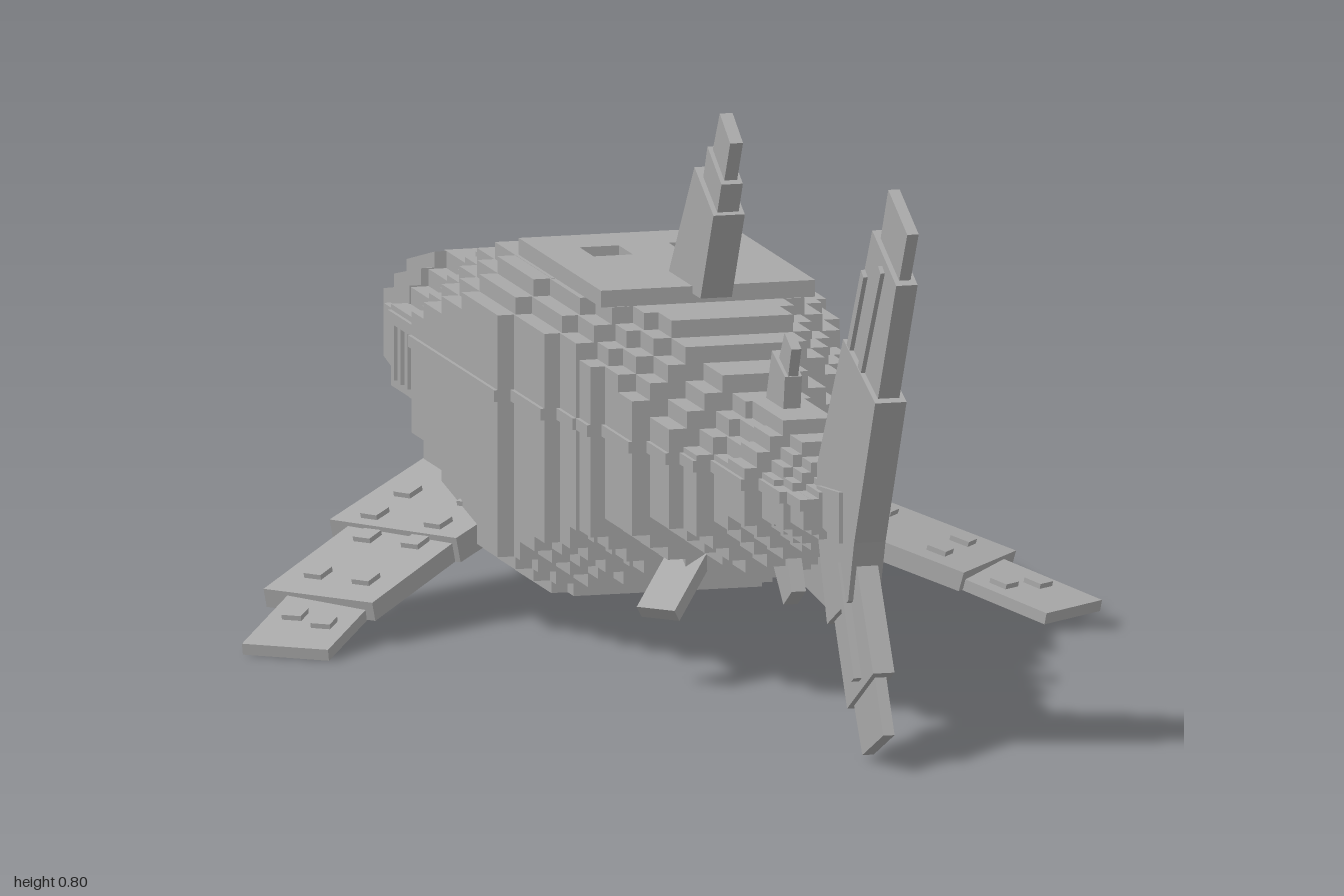
import * as THREE from 'three';

export function createModel() {
  const root = new THREE.Group();
  root.name = 'blockyShark';
  const grey = new THREE.MeshStandardMaterial({ color: 0xa8a8a8, flatShading: true });
  grey.name = 'grey';

  const add = (geo, name, parent = root) => {
    const m = new THREE.Mesh(geo, grey);
    m.name = name;
    parent.add(m);
    return m;
  };
  // Box from its limits
  const box = (x0, x1, y0, y1, z0, z1, name, parent) => {
    const g = new THREE.BoxGeometry(x1 - x0, y1 - y0, z1 - z0);
    g.translate((x0 + x1) / 2, (y0 + y1) / 2, (z0 + z1) / 2);
    return add(g, name, parent);
  };
  // Side outline in (z, y), extruded from x0 to x1
  const side = (pts, x0, x1, name, parent) => {
    const s = new THREE.Shape(pts.map(([z, y]) => new THREE.Vector2(-z, y)));
    const g = new THREE.ExtrudeGeometry(s, { depth: x1 - x0, bevelEnabled: false });
    g.rotateY(Math.PI / 2);
    g.translate(x0, 0, 0);
    return add(g, name, parent);
  };
  // Flat slab from a to b whose chord stays level; optional square bumps on top
  const blade = (a, b, w, t, name, parent, bumps = []) => {
    const va = new THREE.Vector3(...a), vb = new THREE.Vector3(...b);
    const dir = vb.clone().sub(va), len = dir.length();
    dir.normalize();
    const chord = new THREE.Vector3(0, 1, 0).cross(dir).normalize();
    const up = dir.clone().cross(chord);
    const g = new THREE.Group();
    g.name = name;
    g.quaternion.setFromRotationMatrix(new THREE.Matrix4().makeBasis(chord, up, dir));
    g.position.copy(va.add(vb).multiplyScalar(0.5));
    add(new THREE.BoxGeometry(w, t, len), name + 'Slab', g);
    for (const [u, v] of bumps) {
      const m = add(new THREE.BoxGeometry(0.028, 0.008, 0.028), 'bump', g);
      m.position.set(u * w, t / 2 + 0.003, v * len);
    }
    parent.add(g);
  };

  // Body: stepped cross-sections [z0, z1, half width, bottom, top]
  const body = new THREE.Group();
  body.name = 'body';
  root.add(body);
  const sections = [
    [-0.87, -0.715, 0.205, 0.18, 0.415], [-0.715, -0.68, 0.205, 0.16, 0.44],
    [-0.68, -0.62, 0.23, 0.15, 0.44], [-0.62, -0.53, 0.23, 0.125, 0.463],
    [-0.53, -0.43, 0.23, 0.09, 0.487], [-0.43, -0.25, 0.23, 0.055, 0.51],
    [-0.25, -0.22, 0.207, 0.055, 0.51], [-0.22, -0.15, 0.207, 0.08, 0.51],
    [-0.15, -0.1, 0.207, 0.1, 0.51], [-0.1, -0.05, 0.185, 0.1, 0.51],
    [-0.05, -0.02, 0.185, 0.13, 0.51], [-0.02, 0.035, 0.18, 0.13, 0.487],
    [0.035, 0.1, 0.16, 0.155, 0.487], [0.1, 0.17, 0.16, 0.155, 0.463],
    [0.17, 0.265, 0.135, 0.18, 0.44], [0.265, 0.33, 0.115, 0.18, 0.415],
    [0.33, 0.4, 0.09, 0.2, 0.415], [0.4, 0.48, 0.09, 0.225, 0.415],
    [0.48, 0.54, 0.065, 0.245, 0.395], [0.54, 0.585, 0.065, 0.255, 0.375],
    [0.585, 0.65, 0.055, 0.275, 0.355],
  ];
  for (const [z0, z1, hw, yb, yt] of sections) {
    const step = Math.min(0.025, hw / 5), up = Math.min(0.0235, (yt - yb) / 9);
    for (let k = 0; k < 4; k++) {
      const w = hw - step * k, top = Math.min(yt - up * (3 - k), 0.487);
      box(-w, w, yb + up * 0.75 * (3 - k), top, z0, z1, 'bodyStep', body);
    }
    box(-hw - 0.005, hw + 0.005, 0.321, 0.337, z0, z1, 'sideKeel', body);
  }

  // Back plate with two square recesses
  const rect = (C, x0, x1, y0, y1) => {
    const p = new C();
    p.moveTo(x0, y0); p.lineTo(x1, y0); p.lineTo(x1, y1); p.lineTo(x0, y1); p.closePath();
    return p;
  };
  const plate = rect(THREE.Shape, -0.15, 0.15, 0.02, 0.43);
  plate.holes.push(rect(THREE.Path, 0.035, 0.09, 0.27, 0.34), rect(THREE.Path, -0.09, -0.035, 0.27, 0.34));
  const plateGeo = new THREE.ExtrudeGeometry(plate, { depth: 0.023, bevelEnabled: false });
  plateGeo.rotateX(-Math.PI / 2);
  plateGeo.translate(0, 0.487, 0);
  add(plateGeo, 'backPlate', body);

  // Head: tapered middle with a mouth slot, then stepped cheeks
  const head = new THREE.Group();
  head.name = 'head';
  root.add(head);
  side([[-0.86, 0.18], [-0.86, 0.415], [-1, 0.38], [-1, 0.31], [-0.975, 0.31],
    [-0.975, 0.285], [-1, 0.285], [-1, 0.215]], -0.12, 0.12, 'snout', head);
  const cheek = (d, zf) => [[-0.86, 0.18 + d], [-0.86, 0.415 - d], [zf, 0.38 - d * 0.8], [zf, 0.215 + d * 0.8]];
  for (const s of [-1, 1]) {
    const sx = (pts, a, b, n) => side(pts, s > 0 ? a : -b, s > 0 ? b : -a, n, head);
    sx(cheek(0, -1), 0.12, 0.147, 'lipCorner');
    sx(cheek(0.022, -0.993), 0.147, 0.166, 'cheekInner');
    sx(cheek(0.045, -0.988), 0.166, 0.182, 'cheekOuter');
    // Eye
    const eye = add(new THREE.BoxGeometry(0.02, 0.045, 0.045), 'eye', head);
    eye.position.set(s * 0.182, 0.308, -0.93);
    // Gills
    for (let i = 0; i < 4; i++) {
      const gill = add(new THREE.BoxGeometry(0.012, 0.09, 0.014), 'gill', head);
      gill.position.set(s * 0.204, 0.29, -0.845 + i * 0.034);
    }
  }

  // Dorsal fins and anal fin
  const fins = new THREE.Group();
  fins.name = 'midlineFins';
  root.add(fins);
  side([[-0.145, 0.5], [0.02, 0.5], [0.085, 0.625], [-0.01, 0.675]], -0.022, 0.022, 'dorsalBase', fins);
  side([[-0.02, 0.6], [0.06, 0.59], [0.1, 0.67], [0.03, 0.71]], -0.015, 0.015, 'dorsalMiddle', fins);
  side([[0, 0.65], [0.08, 0.65], [0.122, 0.73], [0.07, 0.762]], -0.009, 0.009, 'dorsalTip', fins);
  side([[0.305, 0.4], [0.395, 0.4], [0.405, 0.46], [0.34, 0.485]], -0.012, 0.012, 'rearDorsalBase', fins);
  side([[0.34, 0.45], [0.395, 0.44], [0.42, 0.5], [0.385, 0.517]], -0.007, 0.007, 'rearDorsalTip', fins);
  side([[0.32, 0.23], [0.4, 0.23], [0.432, 0.17], [0.39, 0.145], [0.335, 0.195]], -0.01, 0.01, 'analFin', fins);

  // Tail: three stacked thicknesses per lobe, with ribs on each side
  const tail = new THREE.Group();
  tail.name = 'tail';
  root.add(tail);
  side([[0.6, 0.28], [0.6, 0.375], [0.73, 0.57], [0.89, 0.51], [0.785, 0.3], [0.72, 0.27]], -0.022, 0.022, 'upperBase', tail);
  side([[0.7, 0.5], [0.85, 0.74], [0.97, 0.685], [0.85, 0.46]], -0.015, 0.015, 'upperMiddle', tail);
  side([[0.84, 0.68], [0.905, 0.805], [1, 0.76], [0.93, 0.64]], -0.008, 0.008, 'upperTip', tail);
  side([[0.6, 0.29], [0.65, 0.165], [0.755, 0.215], [0.785, 0.3], [0.7, 0.36]], -0.022, 0.022, 'lowerBase', tail);
  side([[0.64, 0.21], [0.725, 0.062], [0.855, 0.133], [0.77, 0.27]], -0.015, 0.015, 'lowerMiddle', tail);
  side([[0.72, 0.09], [0.776, 0.007], [0.88, 0.052], [0.83, 0.14]], -0.008, 0.008, 'lowerTip', tail);
  side([[0.73, 0.29], [0.62, 0.3], [0.62, 0.35], [0.73, 0.36]], -0.028, 0.028, 'tailRoot', tail);
  side([[0.79, 0.53], [0.9, 0.7], [0.913, 0.692], [0.803, 0.52]], -0.021, 0.021, 'upperRib', tail);
  side([[0.735, 0.55], [0.815, 0.68], [0.828, 0.672], [0.748, 0.542]], -0.021, 0.021, 'upperRib', tail);
  side([[0.705, 0.255], [0.785, 0.11], [0.798, 0.117], [0.718, 0.262]], -0.026, 0.026, 'lowerRib', tail);

  // Paired fins
  for (const s of [-1, 1]) {
    const fin = new THREE.Group();
    fin.name = s > 0 ? 'leftPectoralFin' : 'rightPectoralFin';
    root.add(fin);
    const p = (x, y, z) => [s * x, y, z];
    const grid = [[-0.22, -0.25], [0.22, -0.25], [-0.22, 0.25], [0.22, 0.25]];
    blade(p(0.12, 0.175, -0.565), p(0.326, 0.105, -0.42), 0.22, 0.036, 'pectoralBase', fin,
      [[-0.25, 0.1], [0.25, 0.1], [-0.25, 0.38], [0.25, 0.38]]);
    blade(p(0.29, 0.113, -0.435), p(0.468, 0.047, -0.292), 0.18, 0.027, 'pectoralMiddle', fin, grid);
    blade(p(0.43, 0.055, -0.322), p(0.552, 0.009, -0.163), 0.125, 0.016, 'pectoralTip', fin,
      [[-0.2, 0], [0.2, 0.1]]);
    blade(p(0.045, 0.2, 0.12), p(0.132, 0.105, 0.2), 0.06, 0.02, s > 0 ? 'leftPelvicFin' : 'rightPelvicFin', root);
  }
  return root;
}
